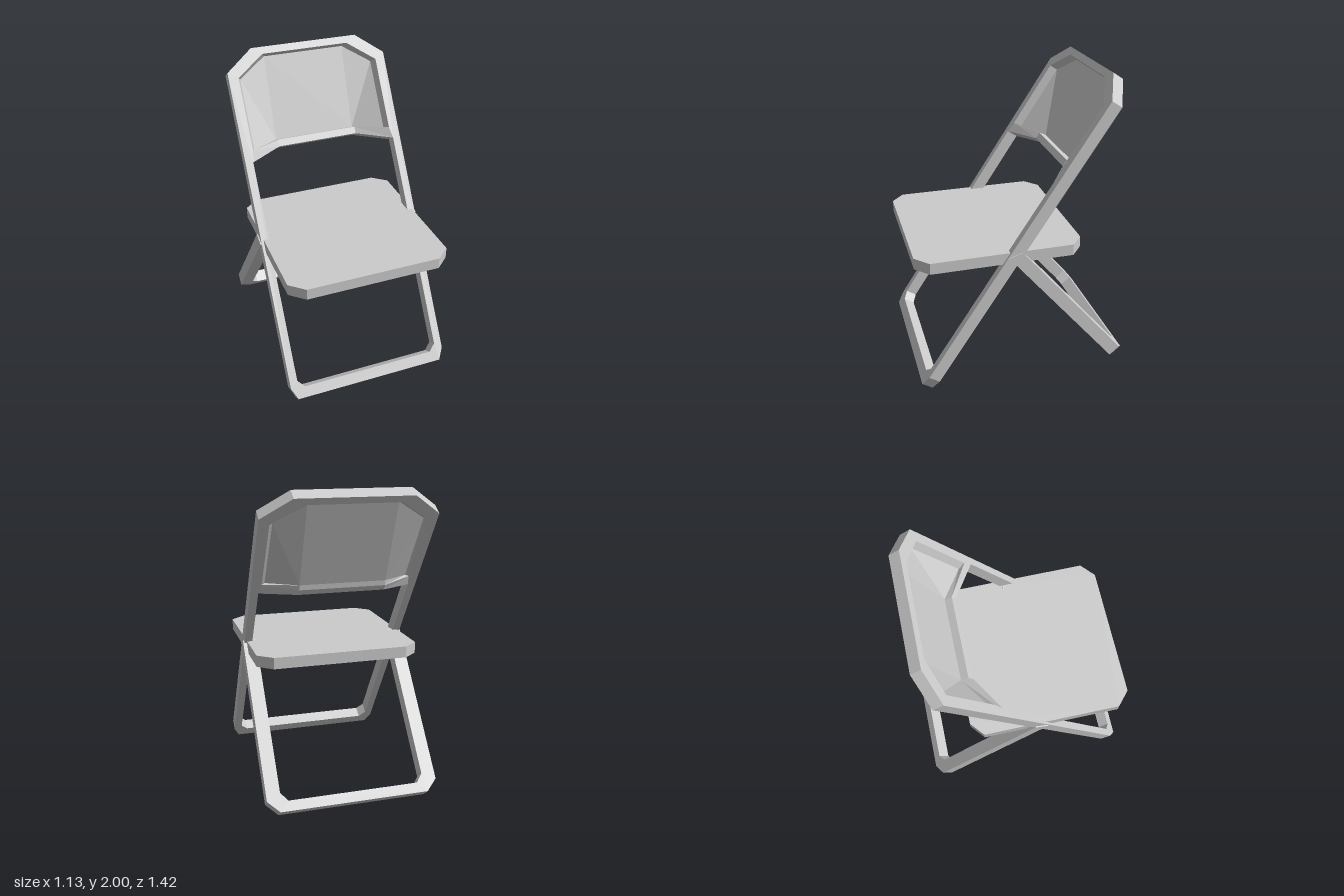
import * as THREE from 'three';

const grey = () => new THREE.MeshStandardMaterial({ color: 0xcccccc, flatShading: true });

// Right half of an outline, bottom to top, mirrored into a closed loop
const mirrored = (half) => [...half, ...half.slice().reverse().map(([x, ...r]) => [-x, ...r])];
const toPoints = (pts) => pts.map(([x, y]) => new THREE.Vector2(x, y));

function slab(name, outline, depth, hole) {
  const shape = new THREE.Shape(toPoints(outline));
  if (hole) shape.holes.push(new THREE.Path(toPoints(hole)));
  const geo = new THREE.ExtrudeGeometry(shape, { depth, bevelEnabled: false });
  const mesh = new THREE.Mesh(geo, grey());
  mesh.name = name;
  return mesh;
}

// Bowed backrest: recessed panel with tapered rim and a bent lower lip
function backrest() {
  const pos = [];
  const quad = (a, b, c, d) => pos.push(...a, ...b, ...c, ...a, ...c, ...d);
  const bow = -0.114;
  // Counterclockwise ring: sides and top, then the two bowed lower points
  const ring = (inset, z, low) => [
    ...mirrored([[0.49 - inset, 1.667, z], [0.49 - inset, 2.152, z], [0.3 - inset, 2.29 - inset * 0.3, z]]),
    [-0.28, low, z + bow], [0.28, low, z + bow],
  ];
  const rows = [ring(0, 0, 1.722), ring(0.02, -0.052, 1.73), ring(0.02, -0.066, 1.745), ring(0, -0.08, 1.715)];
  const edge = (z) => mirrored([[0.505, 1.59, z], [0.28, 1.675, z + bow]]);

  // Rim walls in front of and behind the panel
  for (const [a, b] of [[rows[0], rows[1]], [rows[2], rows[3]]]) {
    a.forEach((p, i) => {
      const j = (i + 1) % a.length;
      quad(p, a[j], b[j], b[i]);
    });
  }
  // Panel faces, front and back
  const facets = [[7, 2, 3, 6], [1, 2, 7, 0], [4, 5, 6, 3]];
  for (const f of facets) {
    const order = f[0] === 4 ? [4, 5, 6, 3] : f;
    const front = order.map((i) => rows[1][i]);
    const back = order.map((i) => rows[2][i]);
    quad(...front);
    quad(back[0], back[3], back[2], back[1]);
  }
  // Lower lip: front, back and underside
  const ef = edge(0), eb = edge(-0.08), top = [0, 7, 6, 5];
  for (let i = 0; i < 3; i++) {
    const a = top[i], b = top[i + 1];
    quad(ef[i], rows[0][a], rows[0][b], ef[i + 1]);
    quad(eb[i], eb[i + 1], rows[3][b], rows[3][a]);
    quad(ef[i], ef[i + 1], eb[i + 1], eb[i]);
  }
  const geo = new THREE.BufferGeometry();
  geo.setAttribute('position', new THREE.Float32BufferAttribute(pos, 3));
  geo.computeVertexNormals();
  const mat = grey();
  mat.side = THREE.DoubleSide;
  const mesh = new THREE.Mesh(geo, mat);
  mesh.name = 'backrest';
  return mesh;
}

export function createModel() {
  const chair = new THREE.Group();
  chair.name = 'foldingChair';

  // Main frame leans back from the front foot to the top of the backrest
  const main = new THREE.Group();
  main.name = 'mainFrame';
  const frame = slab('frontLegsAndBackFrame',
    mirrored([[0.52, 0], [0.557, 0.08], [0.557, 2.194], [0.37, 2.338]]), 0.08,
    mirrored([[0.46, 0.072], [0.505, 0.12], [0.505, 1.59], [0.49, 1.667], [0.49, 2.152], [0.3, 2.29]]));
  frame.position.z = -0.08;
  main.add(frame, backrest());
  main.position.set(0, 0.05, 0.71);
  main.rotation.x = -Math.asin(0.552);
  chair.add(main);

  // U-shaped rear leg, open at the pivot
  const outer = mirrored([[0.49, 0], [0.565, 0.075], [0.565, 1.168]]);
  const inner = mirrored([[0.43, 0.065], [0.475, 0.12], [0.475, 1.168]]);
  const rearLeg = slab('rearLeg',
    [...outer.slice(0, 3), ...inner.slice(0, 3).reverse(), ...inner.slice(3).reverse(), ...outer.slice(3)], 0.086);
  // Slanted cut at the pivot end
  const p = rearLeg.geometry.attributes.position;
  for (let i = 0; i < p.count; i++) {
    if (p.getY(i) > 1 && p.getZ(i) > 0.01) p.setY(i, p.getY(i) + 0.035);
  }
  rearLeg.geometry.computeVertexNormals();
  rearLeg.position.set(0, 0.055, -0.71);
  rearLeg.rotation.x = Math.asin(0.642);
  chair.add(rearLeg);

  // Flat seat with clipped corners
  const seat = slab('seat',
    mirrored([[0.445, -0.71], [0.54, -0.625], [0.54, 0.305], [0.445, 0.385]]), 0.075);
  seat.rotation.x = -Math.PI / 2;
  seat.position.y = 0.873;
  chair.add(seat);

  return chair;
}
